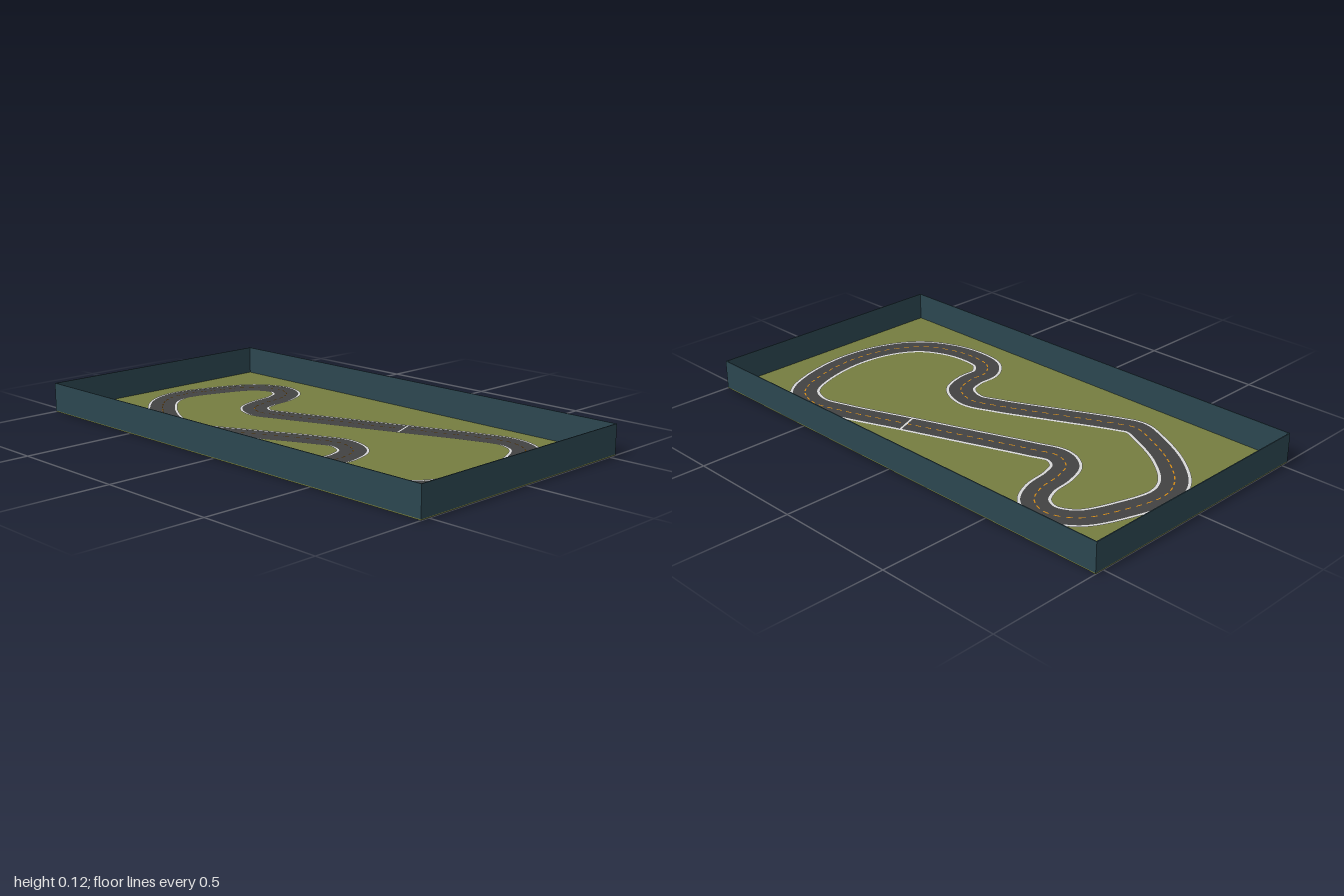
import * as THREE from 'three';

const paint = (name, color) => {
  const m = new THREE.MeshStandardMaterial({ color });
  m.name = name;
  return m;
};

// Centre line of the circuit as x, z pairs
const path = [
  [0.225, -0.253], [-0.02, -0.16], [-0.27, -0.065], [-0.374, -0.032], [-0.45, -0.07],
  [-0.483, -0.15], [-0.5, -0.26], [-0.545, -0.34], [-0.63, -0.372], [-0.735, -0.32],
  [-0.81, -0.16], [-0.846, 0.005], [-0.81, 0.11], [-0.69, 0.225], [-0.53, 0.315],
  [-0.433, 0.35], [-0.37, 0.33], [-0.14, 0.22], [0.085, 0.112], [0.197, 0.075],
  [0.3, 0.118], [0.337, 0.21], [0.342, 0.3], [0.4, 0.366], [0.5, 0.384],
  [0.62, 0.366], [0.74, 0.3], [0.815, 0.18], [0.845, 0], [0.805, -0.22],
  [0.735, -0.345], [0.625, -0.387], [0.487, -0.353],
];

export function createModel() {
  const group = new THREE.Group();
  const grass = paint('grass green', 0x757d40);
  const wall = paint('wall teal', 0x2c4650);
  const asphalt = paint('asphalt grey', 0x424242);
  const white = paint('line white', 0xd8d8d8);
  const orange = paint('dash orange', 0xd68a12);

  const add = (name, geometry, material, x = 0, y = 0, z = 0) => {
    const mesh = new THREE.Mesh(geometry, material);
    mesh.name = name;
    mesh.position.set(x, y, z);
    group.add(mesh);
  };

  const curve = new THREE.CatmullRomCurve3(
    path.map(([x, z]) => new THREE.Vector3(x, 0, z)), true, 'centripetal');
  curve.arcLengthDivisions = 1000;

  // Appends a flat upward-facing strip between two side offsets along the curve
  const strip = (pos, index, y, from, to, t0, t1, steps) => {
    const base = pos.length / 3;
    for (let i = 0; i <= steps; i++) {
      const u = t0 + (t1 - t0) * i / steps;
      const p = curve.getPointAt(u), t = curve.getTangentAt(u);
      for (const w of [from, to]) pos.push(p.x - t.z * w, y, p.z + t.x * w);
      if (i < steps) {
        const a = base + i * 2;
        index.push(a, a + 1, a + 2, a + 1, a + 3, a + 2);
      }
    }
  };
  const ribbon = (name, material, build) => {
    const pos = [], index = [];
    build(pos, index);
    const g = new THREE.BufferGeometry();
    g.setAttribute('position', new THREE.Float32BufferAttribute(pos, 3));
    g.setIndex(index);
    g.computeVertexNormals();
    add(name, g, material);
  };

  // Tray: grass floor and four thin walls
  const D = 0.537, H = 0.12, T = 0.004;
  add('grassFloor', new THREE.BoxGeometry(2, T, 2 * D), grass, 0, T / 2, 0);
  for (const s of [-1, 1]) {
    add(s > 0 ? 'frontWall' : 'backWall', new THREE.BoxGeometry(2, H - T, T), wall,
      0, (H + T) / 2, s * (D - T / 2));
    add(s > 0 ? 'leftWall' : 'rightWall', new THREE.BoxGeometry(T, H - T, 2 * D - 2 * T), wall,
      s * (1 - T / 2), (H + T) / 2, 0);
  }

  // Road with white borders
  ribbon('road', asphalt, (p, i) => strip(p, i, 0.006, -0.055, 0.055, 0, 1, 400));
  for (const s of [-1, 1]) {
    ribbon(s > 0 ? 'outerEdgeLine' : 'innerEdgeLine', white,
      (p, i) => strip(p, i, 0.008, s * 0.055 - 0.006, s * 0.055 + 0.006, 0, 1, 400));
  }

  // Dashed centre line
  const dashes = 110;
  ribbon('centreDashes', orange, (p, i) => {
    for (let k = 0; k < dashes; k++) {
      strip(p, i, 0.008, -0.0025, 0.0025, k / dashes, (k + 0.55) / dashes, 3);
    }
  });

  // Start line across the road
  ribbon('startLine', white, (p, i) => strip(p, i, 0.01, -0.055, 0.055, 0, 0.0025, 1));

  return group;
}
